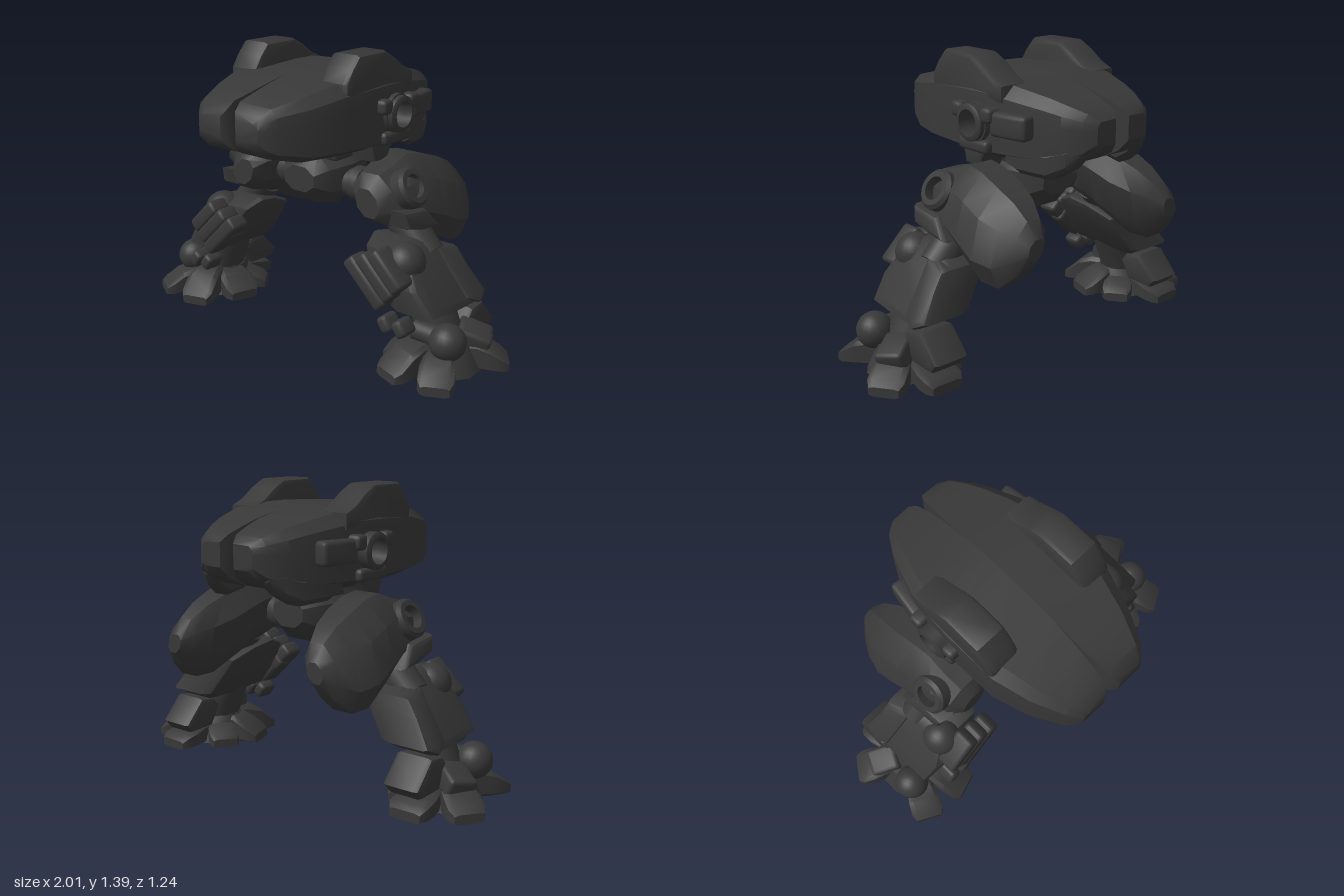
import * as THREE from 'three';
import { toCreasedNormals } from 'three/addons/utils/BufferGeometryUtils.js';
import { RoundedBoxGeometry } from 'three/addons/geometries/RoundedBoxGeometry.js';

// Closed skin over rings of [x, y, z] points; winding is set from the signed volume
function loft(rings, skip = () => false) {
  const n = rings[0].length, pos = [];
  const tri = (a, b, c) => pos.push(...a, ...b, ...c);
  for (let i = 0; i < rings.length - 1; i++) {
    for (let j = 0; j < n; j++) {
      if (skip(i, j)) continue;
      const k = (j + 1) % n, A = rings[i], B = rings[i + 1];
      tri(A[j], A[k], B[k]);
      tri(A[j], B[k], B[j]);
    }
  }
  const first = rings[0], last = rings[rings.length - 1];
  for (let j = 1; j < n - 1; j++) {
    tri(first[0], first[j + 1], first[j]);
    tri(last[0], last[j], last[j + 1]);
  }
  const geo = new THREE.BufferGeometry();
  geo.setAttribute('position', new THREE.Float32BufferAttribute(pos, 3));
  geo.computeBoundingBox();
  const mid = geo.boundingBox.getCenter(new THREE.Vector3());
  let volume = 0;
  const [a, b, c] = [0, 1, 2].map(() => new THREE.Vector3());
  for (let i = 0; i < pos.length; i += 9) {
    a.fromArray(pos, i).sub(mid); b.fromArray(pos, i + 3).sub(mid); c.fromArray(pos, i + 6).sub(mid);
    volume += a.dot(b.cross(c));
  }
  return volume < 0 ? flip(geo) : geo;
}

function flip(geo) {
  const p = geo.attributes.position.array;
  for (let i = 0; i < p.length; i += 9) {
    for (let k = 0; k < 3; k++) [p[i + 3 + k], p[i + 6 + k]] = [p[i + 6 + k], p[i + 3 + k]];
  }
  return geo;
}

// Box section with cut corners at depth z
function section(z, x0, x1, y0, y1, cut = 0.25) {
  const cx = (x1 - x0) * cut, cy = (y1 - y0) * cut;
  return [[x0 + cx, y0], [x1 - cx, y0], [x1, y0 + cy], [x1, y1 - cy],
    [x1 - cx, y1], [x0 + cx, y1], [x0, y1 - cy], [x0, y0 + cy]].map(([x, y]) => [x, y, z]);
}
const block = (list, cut) => loft(list.map(s => section(...s, cut)));

// Side profile of [z, y] points, thickened from x0 to x1 with bevelled edges
function slab(profile, x0, x1, bevel) {
  const shape = new THREE.Shape(profile.map(([z, y]) => new THREE.Vector2(z, y)));
  const depth = x1 - x0 - 2 * bevel;
  return new THREE.ExtrudeGeometry(shape, { depth, bevelThickness: bevel, bevelSize: bevel, bevelOffset: -bevel, bevelSegments: 2 })
    .translate(0, 0, -depth / 2).rotateY(-Math.PI / 2).translate((x0 + x1) / 2, 0, 0);
}

// Slant a part outwards as it goes down from y0
function lean(geo, y0, k) {
  const p = geo.attributes.position;
  for (let i = 0; i < p.count; i++) p.setX(i, p.getX(i) + (y0 - p.getY(i)) * k);
  return geo;
}

const rbox = (w, h, d, x, y, z, rz = 0, ry = 0, r = 0.02) =>
  new RoundedBoxGeometry(w, h, d, 2, r).rotateY(ry).rotateZ(rz).translate(x, y, z);
const drum = (r, len, x, y, z, rz = Math.PI / 2, sides = 20) =>
  new THREE.CylinderGeometry(r, r, len, sides).rotateZ(rz).translate(x, y, z);
// Hollow ring about the y axis
const ring = (inner, outer, h) => new THREE.LatheGeometry(
  [[inner, -h], [outer, -h], [outer, h * 0.7], [outer - 0.015, h], [inner, h], [inner, -h]].map(p => new THREE.Vector2(...p)), 24);

export function createModel() {
  const model = new THREE.Group();
  const armour = new THREE.MeshStandardMaterial({ color: 0x383838 });
  armour.name = 'dark armour';

  const add = (name, geo, parent = model) => {
    const mesh = new THREE.Mesh(toCreasedNormals(geo, 0.6), armour);
    mesh.name = name;
    parent.add(mesh);
  };
  const left = new THREE.Group(), right = new THREE.Group();
  left.name = 'leftSide';
  right.name = 'rightSide';
  model.add(left, right);
  const both = (name, geo) => {
    const g = geo.index ? geo.toNonIndexed() : geo;
    const mirrored = flip(g.clone().scale(-1, 1, 1));
    mirrored.deleteAttribute('normal');
    mirrored.computeVertexNormals();
    add(name, g, left);
    add(name, mirrored, right);
  };

  // Hull half: z, half width, bottom, top, inner gap (parted along the middle at both ends)
  const hull = [
    [0.62, 0.175, 1.06, 1.15, 0.045], [0.6, 0.2, 1.02, 1.18, 0.025], [0.56, 0.235, 0.99, 1.215, 0.016],
    [0.42, 0.305, 0.955, 1.25, 0.006], [0.25, 0.358, 0.95, 1.29, 0], [-0.02, 0.365, 0.935, 1.305, 0],
    [-0.145, 0.36, 0.935, 1.305, 0], [-0.28, 0.335, 0.94, 1.28, 0], [-0.42, 0.285, 0.945, 1.25, 0.004],
    [-0.5, 0.25, 0.96, 1.225, 0.01], [-0.58, 0.2, 1.0, 1.195, 0.02], [-0.62, 0.15, 1.05, 1.16, 0.04]];
  const hullSection = [[0, 0], [0.75, 0], [1, 0.12], [1, 0.297], [1, 0.622], [0.98, 0.82], [0.82, 0.97], [0, 1]];
  both('hull', loft(hull.map(([z, w, y0, y1, gap]) =>
    hullSection.map(([u, v]) => [gap + (w - gap) * u, y0 + (y1 - y0) * v, z])),
  (i, j) => i === 5 && (j === 3 || j === 7)));

  // Shoulder pods on the top edges
  both('shoulderPod', slab([[0.25, 1.2], [0.25, 1.28], [0.21, 1.34], [0.16, 1.395], [-0.03, 1.395], [-0.1, 1.36],
    [-0.17, 1.31], [-0.24, 1.28], [-0.24, 1.2]], 0.19, 0.352, 0.025));

  // Open bore through the hull, with its side fittings
  add('bore', ring(0.06, 0.092, 0.385).rotateZ(Math.PI / 2).translate(0, 1.105, -0.083));
  both('boreCollar', ring(0.06, 0.085, 0.03).rotateZ(-Math.PI / 2).translate(0.385, 1.105, -0.083));
  for (const z of [0.015, -0.185]) both('boreClamp', rbox(0.09, 0.07, 0.07, 0.36, 1.15, z));
  both('sideBox', rbox(0.08, 0.11, 0.2, 0.335, 1.115, -0.29, 0, 0.16));
  both('sidePlate', rbox(0.05, 0.06, 0.2, 0.365, 1.0, -0.08));

  // Underside pods and hangers
  both('rearUnderPod', block([[-0.24, 0.2, 0.33, 0.93, 1.0], [-0.3, 0.19, 0.32, 0.9, 1.02],
    [-0.44, 0.16, 0.28, 0.89, 1.02], [-0.52, 0.14, 0.24, 0.94, 1.04], [-0.57, 0.13, 0.2, 1.0, 1.06]], 0.2));
  both('hanger', slab([[0.06, 1.0], [0.04, 0.93], [0.03, 0.89], [-0.07, 0.88], [-0.09, 0.93], [-0.14, 1.0]], 0.2, 0.34, 0.02));
  add('neck', new THREE.CylinderGeometry(0.11, 0.13, 0.14, 16).translate(0, 0.93, -0.04));
  add('neckCollar', rbox(0.32, 0.06, 0.26, 0, 0.9, -0.04));

  // Pelvis and hip axle
  add('pelvis', block([[0.17, -0.09, 0.09, 0.72, 0.84], [0.11, -0.14, 0.14, 0.66, 0.9], [-0.03, -0.165, 0.165, 0.63, 0.92],
    [-0.15, -0.15, 0.15, 0.66, 0.91], [-0.23, -0.09, 0.09, 0.73, 0.86]], 0.28));
  add('hipAxle', drum(0.07, 0.62, 0, 0.75, -0.03));
  both('hipCollar', drum(0.085, 0.05, 0.215, 0.75, -0.03));

  // Thigh: rounded pod swept back, with an open joint ring at its front
  both('thigh', lean(block([[0.15, 0.34, 0.46, 0.67, 0.8], [0.1, 0.3, 0.52, 0.635, 0.86], [0, 0.27, 0.55, 0.61, 0.885],
    [-0.1, 0.27, 0.56, 0.57, 0.92], [-0.2, 0.265, 0.57, 0.525, 0.905], [-0.32, 0.27, 0.57, 0.465, 0.865],
    [-0.42, 0.3, 0.54, 0.46, 0.82], [-0.5, 0.34, 0.5, 0.53, 0.76], [-0.55, 0.38, 0.46, 0.6, 0.69]], 0.28), 0.68, 0.25));
  both('hipRing', ring(0.055, 0.095, 0.05).rotateZ(-1.05).translate(0.5, 0.79, 0));
  both('hipCap', drum(0.045, 0.06, 0.475, 0.775, 0, -1.05, 12));
  both('thighPad', lean(slab([[0.1, 0.64], [0.12, 0.72], [-0.05, 0.7], [-0.14, 0.6], [-0.02, 0.61]], 0.38, 0.59, 0.025), 0.66, 0.2));

  // Knee
  both('kneeJoint', drum(0.085, 0.24, 0.5, 0.56, -0.06, 0.75));
  both('kneeBall', new THREE.SphereGeometry(0.095, 20, 14).translate(0.575, 0.49, 0.11));

  // Shin with front slats
  both('shin', lean(slab([[0.18, 0.28], [0.2, 0.4], [0.15, 0.54], [0.05, 0.58], [-0.06, 0.56], [-0.2, 0.5],
    [-0.21, 0.42], [-0.235, 0.3], [-0.17, 0.26], [0, 0.265]], 0.39, 0.64, 0.04), 0.5, 0.7));
  both('calfPlate', lean(slab([[-0.06, 0.54], [-0.2, 0.5], [-0.21, 0.42], [-0.245, 0.3], [-0.17, 0.265], [-0.09, 0.3]],
    0.42, 0.66, 0.03), 0.5, 0.7));
  for (let i = 0; i < 3; i++) {
    both('shinSlat', rbox(0.075, 0.27 - 0.03 * i, 0.11, 0.46 + 0.055 * i, 0.405 + 0.04 * i, 0.215, 0.8));
  }
  both('slatBridge', rbox(0.2, 0.08, 0.08, 0.48, 0.46, 0.19, 0.8));
  for (const x of [0.57, 0.65]) both('shinPeg', rbox(0.06, 0.08, 0.1, x, 0.235, 0.215, 0.6));

  // Ankle
  both('ankle', lean(drum(0.11, 0.2, 0.68, 0.2, 0, 0, 12), 0.2, 0.4));
  both('ankleBall', new THREE.SphereGeometry(0.085, 20, 14).translate(0.815, 0.175, 0.11));
  both('ankleLink', drum(0.05, 0.18, 0.73, 0.18, 0.1));
  both('heelBlock', slab([[-0.08, 0.2], [-0.12, 0.25], [-0.21, 0.26], [-0.32, 0.14], [-0.28, 0.095], [-0.14, 0.1]], 0.61, 0.8, 0.025));
  both('outerAnkleBlock', rbox(0.16, 0.1, 0.14, 0.83, 0.14, -0.08, -0.4, 0.5));

  // Foot: hub and splayed toes (x, z of tip, width, height at root)
  both('footHub', new THREE.CylinderGeometry(0.13, 0.19, 0.13, 10).translate(0.72, 0.07, 0));
  const toes = [[0.62, 0.3, 0.17, 0.15], [0.87, 0.285, 0.16, 0.13], [0.965, -0.17, 0.17, 0.13],
    [0.73, -0.315, 0.19, 0.1], [0.47, 0.08, 0.18, 0.13], [0.52, -0.14, 0.15, 0.11]];
  for (const [x, z, w, h] of toes) {
    const dx = x - 0.72, dz = z, len = Math.hypot(dx, dz), a = w / 2;
    both('toe', block([[0.06, -a * 0.7, a * 0.7, 0, h], [len * 0.5, -a * 0.85, a * 0.85, 0, h],
      [len - 0.09, -a, a, 0, h * 0.85], [len - 0.03, -a, a, 0, 0.07], [len, -a * 0.8, a * 0.8, 0, 0.045]], 0.14)
      .rotateY(Math.atan2(dx, dz)).translate(0.72, 0, 0));
  }
  return model;
}
